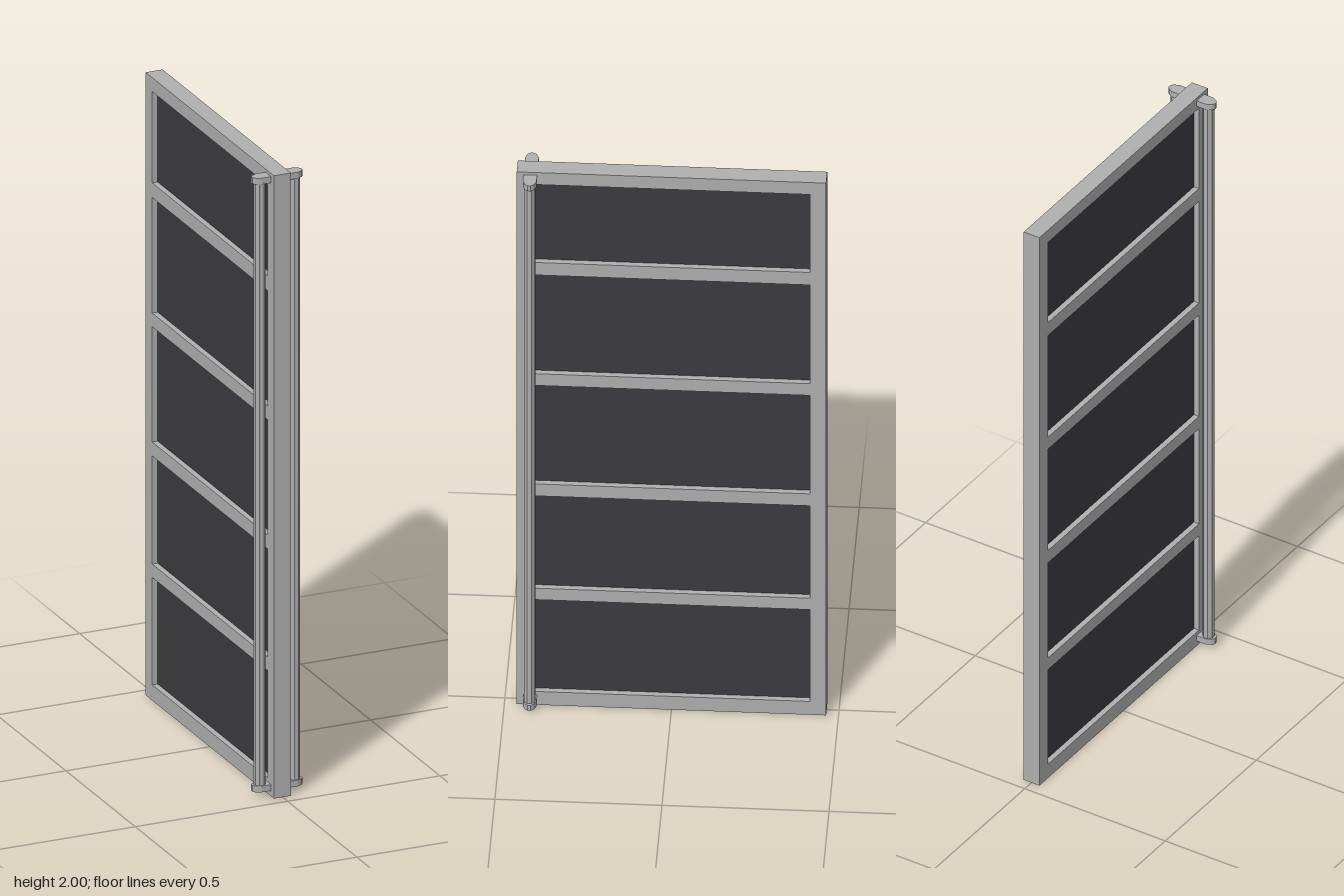
import * as THREE from 'three';

const frameGrey = new THREE.MeshStandardMaterial({ color: 0xb0b0b0 });
frameGrey.name = 'frameGrey';
const darkGlass = new THREE.MeshStandardMaterial({ color: 0x3c3a40 });
darkGlass.name = 'darkGlass';

const HALF_DEPTH = 0.463, HALF_THICK = 0.028, HEIGHT = 2;
const PANE_HALF = 0.415;
const PANES = [[0.05, 0.395], [0.438, 0.785], [0.83, 1.2], [1.244, 1.615], [1.662, 1.955]];

function add(parent, name, geometry, material, x = 0, y = 0, z = 0) {
  const mesh = new THREE.Mesh(geometry, material);
  mesh.name = name;
  mesh.position.set(x, y, z);
  parent.add(mesh);
  return mesh;
}

function rectangle(path, x0, y0, x1, y1) {
  path.moveTo(x0, y0).lineTo(x1, y0).lineTo(x1, y1).lineTo(x0, y1).closePath();
  return path;
}

// Door frame with one opening per pane
function frameGeometry() {
  const shape = rectangle(new THREE.Shape(), -HALF_DEPTH, 0, HALF_DEPTH, HEIGHT);
  for (const [y0, y1] of PANES) {
    shape.holes.push(rectangle(new THREE.Path(), -PANE_HALF, y0, PANE_HALF, y1));
  }
  const g = new THREE.ExtrudeGeometry(shape, { depth: 2 * HALF_THICK, bevelEnabled: false });
  return g.translate(0, 0, -HALF_THICK).rotateY(-Math.PI / 2);
}

// Bracket plate: flat against the door, faceted round at the outer end
function bracketGeometry() {
  const outline = [[0.026, -0.0205], [0.06, -0.0205], [0.076, -0.013], [0.082, -0.0045],
    [0.082, 0.0045], [0.076, 0.013], [0.06, 0.0205], [0.026, 0.0205]];
  const shape = new THREE.Shape(outline.map(([x, y]) => new THREE.Vector2(x, y)));
  const g = new THREE.ExtrudeGeometry(shape, { depth: 0.02, bevelEnabled: false });
  return g.rotateX(-Math.PI / 2);
}

// Full-height pull handle on one face of the door
function createHandle(name, turn) {
  const handle = new THREE.Group();
  handle.name = name;
  const bar = new THREE.CylinderGeometry(0.018, 0.018, 1.94, 8, 1, true)
    .rotateY(Math.PI / 8).toNonIndexed();
  bar.computeVertexNormals();
  add(handle, 'handleBar', bar, frameGrey, 0.057, 1.004, 0);
  const bracket = bracketGeometry();
  add(handle, 'lowerBracket', bracket, frameGrey, 0, 0.018, 0);
  add(handle, 'upperBracket', bracket, frameGrey, 0, 1.97, 0);
  handle.rotation.y = turn;
  handle.position.z = 0.4225;
  return handle;
}

export function createModel() {
  const door = new THREE.Group();
  door.name = 'glazedDoor';

  add(door, 'doorFrame', frameGeometry(), frameGrey);

  // Recessed panes
  PANES.forEach(([y0, y1], i) => {
    add(door, `glassPane${i + 1}`, new THREE.BoxGeometry(0.02, y1 - y0, 2 * PANE_HALF),
      darkGlass, 0, (y0 + y1) / 2, 0);
  });

  door.add(createHandle('leftHandle', 0), createHandle('rightHandle', Math.PI));
  return door;
}
